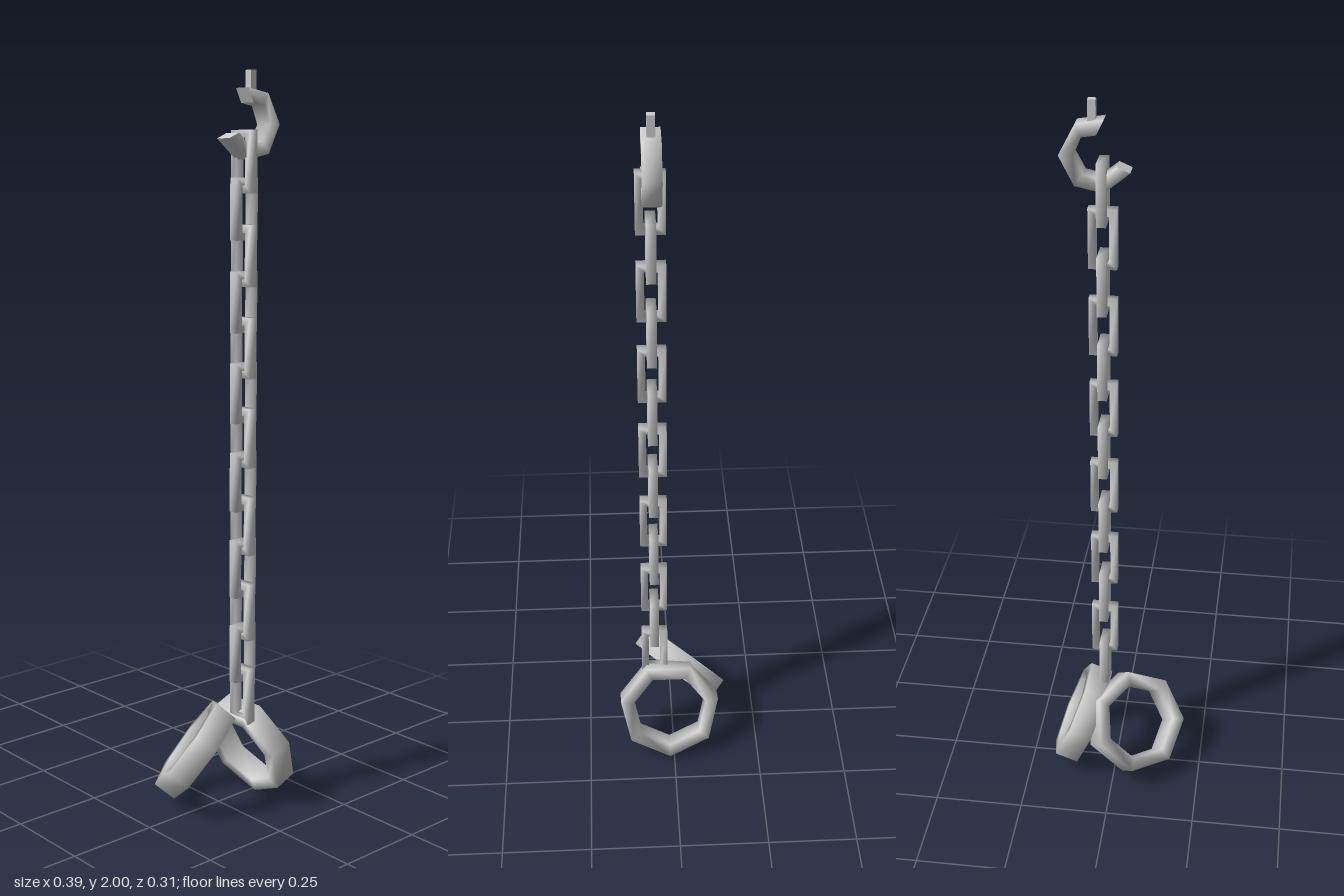
import * as THREE from 'three';

const material = new THREE.MeshStandardMaterial({ color: 0xcccccc });

// Smooth-shaded flat bar: stations are [outerX, outerY, innerX, innerY], counter-clockwise
function barGeometry(stations, depth, closed) {
  const pos = [], index = [], d = depth / 2, n = stations.length;
  const addStation = ([ox, oy, ix, iy]) =>
    pos.push(ox, oy, d, ox, oy, -d, ix, iy, -d, ix, iy, d);
  stations.forEach(addStation);
  for (let i = 0; i < (closed ? n : n - 1); i++) {
    const a = i * 4, b = ((i + 1) % n) * 4;
    for (let c = 0; c < 4; c++) {
      const e = (c + 1) % 4;
      index.push(a + c, a + e, b + e, a + c, b + e, b + c);
    }
  }
  if (!closed) {
    // End caps with their own vertices keep the ends sharp
    const s = n * 4, e = s + 4;
    addStation(stations[0]);
    addStation(stations[n - 1]);
    index.push(s, s + 2, s + 1, s, s + 3, s + 2, e, e + 1, e + 2, e, e + 2, e + 3);
  }
  const g = new THREE.BufferGeometry();
  g.setAttribute('position', new THREE.Float32BufferAttribute(pos, 3));
  g.setIndex(index);
  g.computeVertexNormals();
  return g;
}

function addMesh(parent, name, geometry) {
  const mesh = new THREE.Mesh(geometry, material);
  mesh.name = name;
  parent.add(mesh);
  return mesh;
}

// Seven-sided cuff ring, its axis turned along the given direction
function addCuff(parent, name, center, axis, startDegrees) {
  const stations = [];
  for (let i = 0; i < 7; i++) {
    const t = THREE.MathUtils.degToRad(startDegrees) + (i / 7) * Math.PI * 2;
    const c = Math.cos(t), s = Math.sin(t);
    stations.push([c * 0.147, s * 0.147, c * 0.11, s * 0.11]);
  }
  const cuff = addMesh(parent, name, barGeometry(stations, 0.067, true));
  cuff.position.set(...center);
  cuff.lookAt(new THREE.Vector3(...center).add(new THREE.Vector3(...axis)));
}

export function createModel() {
  const model = new THREE.Group();
  model.name = 'hangingShackles';
  const chainX = 0.041, chainZ = 0.053;

  // Chain of rectangular links, alternately turned by a quarter
  const chain = new THREE.Group();
  chain.name = 'chain';
  model.add(chain);
  const w = 0.037, h = 0.08, t = 0.02;
  const corners = [[1, -1], [1, 1], [-1, 1], [-1, -1]];
  const linkGeometry = barGeometry(
    corners.map(([x, y]) => [x * w, y * h, x * (w - t), y * (h - t)]), 0.025, true);
  for (let i = 0; i < 13; i++) {
    const link = addMesh(chain, 'chainLink', linkGeometry);
    link.position.set(chainX, 1.77 - i * 0.1203, chainZ);
    if (i % 2 === 0) link.rotation.y = Math.PI / 2;
  }

  // Hook, from its pointed tip round to the upper end
  const hook = addMesh(model, 'hook', barGeometry([
    [-0.03, 1.828, 0.003, 1.842],
    [0.035, 1.775, 0.042, 1.81],
    [0.108, 1.79, 0.085, 1.82],
    [0.146, 1.865, 0.11, 1.865],
    [0.105, 1.943, 0.09, 1.912],
    [0.035, 1.955, 0.053, 1.918],
  ], 0.047, false));
  hook.position.z = 0.051;

  // Short stem above the hook
  const stem = addMesh(model, 'hookStem', new THREE.BoxGeometry(0.02, 0.07, 0.02));
  stem.position.set(0.066, 1.965, 0.051);

  // Two cuffs hanging from the last link
  addCuff(model, 'leftCuff', [0.104, 0.148, 0.013], [0.93, 0.37, 0], -90);
  addCuff(model, 'rightCuff', [-0.058, 0.165, -0.03], [-0.53, 0.59, -0.61], 84);

  return model;
}
